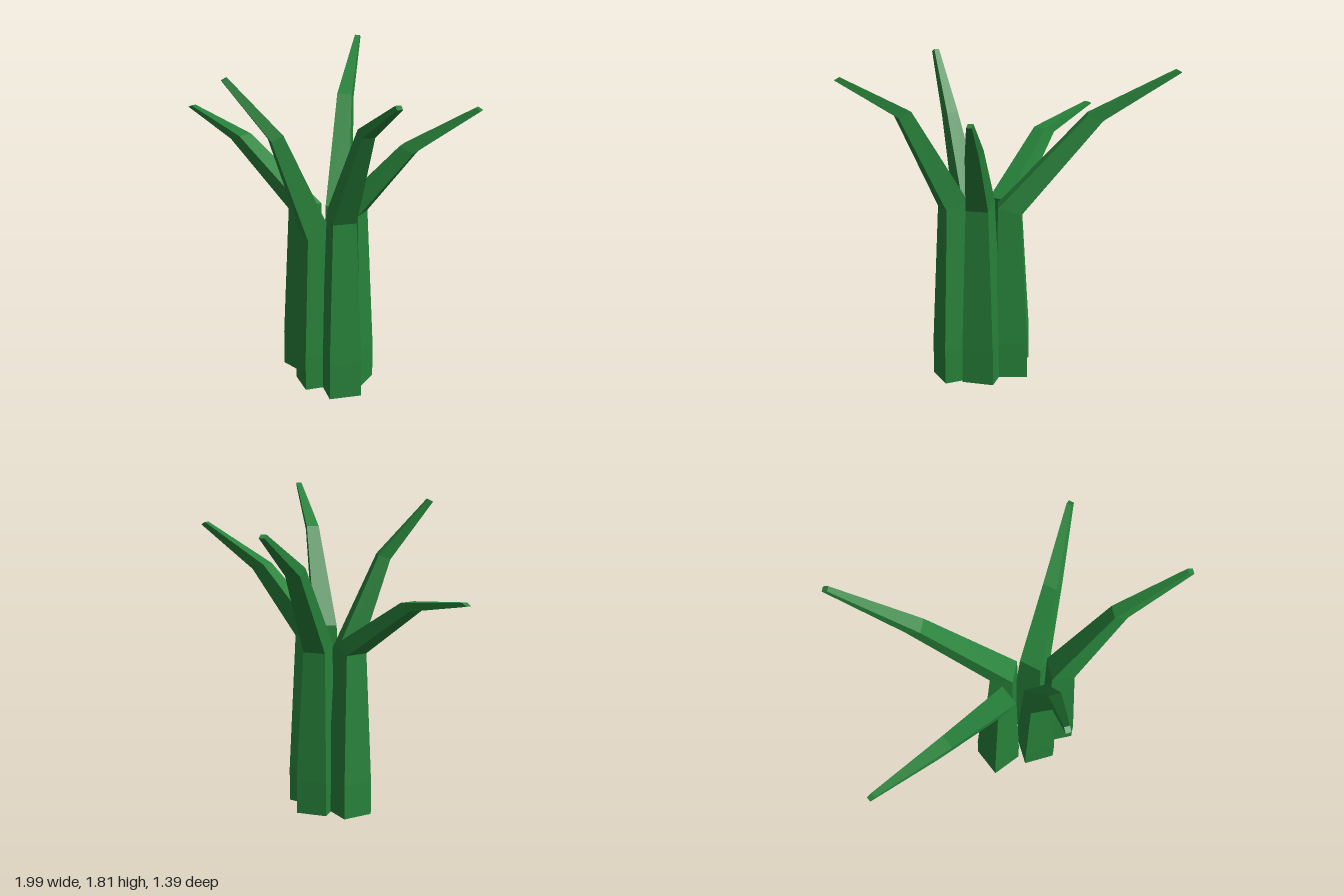
import * as THREE from 'three';

// Corner signs of a square ring: outward (u) and sideways (v)
const CORNERS = [[1, 1], [-1, 1], [-1, -1], [1, -1]];

// Square stem swept through rings of [x, y, z, halfWidth, tilt].
// dir is the horizontal heading [x, z] that the square section faces.
function stemGeometry(dir, rings) {
  const len = Math.hypot(dir[0], dir[1]);
  const dx = dir[0] / len, dz = dir[1] / len;
  const positions = [], index = [];
  for (const [x, y, z, h, tilt] of rings) {
    for (const [u, v] of CORNERS) {
      positions.push(x + h * (u * dx - v * dz), y - u * h * tilt, z + h * (u * dz + v * dx));
    }
  }
  for (let r = 0; r < rings.length - 1; r++) {
    for (let i = 0; i < 4; i++) {
      const a = r * 4 + i, b = r * 4 + (i + 1) % 4;
      index.push(b, a, a + 4, b, a + 4, b + 4);
    }
  }
  // End caps
  const t = (rings.length - 1) * 4;
  index.push(0, 1, 2, 0, 2, 3, t, t + 2, t + 1, t, t + 3, t + 2);

  const indexed = new THREE.BufferGeometry();
  indexed.setAttribute('position', new THREE.Float32BufferAttribute(positions, 3));
  indexed.setIndex(index);
  const geometry = indexed.toNonIndexed();
  geometry.computeVertexNormals();
  return geometry;
}

// base: [x, z]; bend, elbow and tip: centres of the upper rings
const STEMS = [
  { name: 'leftStem', dir: [-1, 0], base: [-0.065, 0.14],
    bend: [-0.06, 0.98, 0.145], elbow: [-0.525, 1.3, 0.24], tip: [-0.985, 1.39, 0.262], elbowWidth: 0.042 },
  { name: 'backLeftStem', dir: [-0.65, -0.75], base: [0.07, -0.005],
    bend: [0.07, 0.98, 0.005], elbow: [-0.27, 1.5, -0.33], tip: [-0.565, 1.755, -0.677], elbowWidth: 0.042 },
  { name: 'backRightStem', dir: [0.9, -0.42], base: [0.25, 0.06],
    bend: [0.25, 1.03, 0.065], elbow: [0.5, 1.395, -0.12], tip: [0.785, 1.63, -0.35], elbowWidth: 0.04 },
  { name: 'rightStem', dir: [0.9, 0.42], base: [0.33, 0.205],
    bend: [0.324, 1.03, 0.2], elbow: [0.615, 1.575, 0.285], tip: [0.97, 1.8, 0.393], elbowWidth: 0.036 },
  { name: 'frontStem', dir: [-0.36, 0.93], base: [0.149, 0.239],
    bend: [0.145, 0.9, 0.235], elbow: [0.075, 1.465, 0.447], tip: [-0.055, 1.79, 0.676], elbowWidth: 0.034 },
];

export function createModel() {
  const group = new THREE.Group();
  group.name = 'branchingPlant';

  const green = new THREE.MeshStandardMaterial({ color: 0x27823a, flatShading: true });
  green.name = 'leafGreen';

  for (const s of STEMS) {
    const [x, z] = s.base;
    const mesh = new THREE.Mesh(stemGeometry(s.dir, [
      [x, 0, z, 0.09, 0],
      [x, 0.2, z, 0.09, 0],
      [...s.bend, 0.065, 0.3],
      [...s.elbow, s.elbowWidth, 0.4],
      [...s.tip, 0.015, 0.5],
    ]), green);
    mesh.name = s.name;
    group.add(mesh);
  }
  return group;
}
